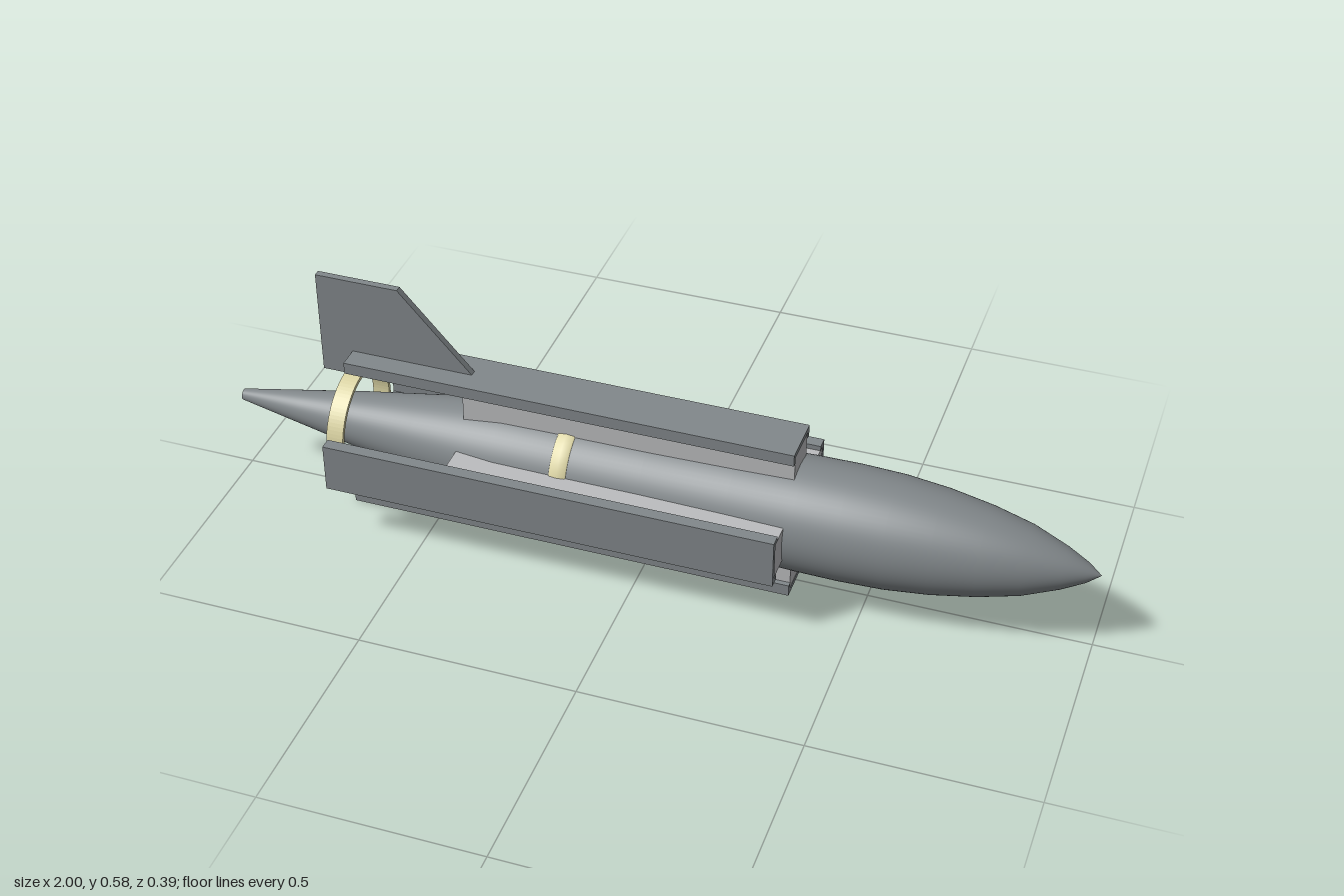
import * as THREE from 'three';

const AXIS_Y = 0.196;

function material(name, color, side = THREE.FrontSide) {
  const m = new THREE.MeshStandardMaterial({ color, side });
  m.name = name;
  return m;
}

export function createModel() {
  const bodyGrey = material('body grey', 0x82888b);
  const paleGrey = material('pale grey', 0xbcbdbf);
  const cream = material('cream', 0xdcd5a4);

  const model = new THREE.Group();
  model.name = 'finnedPod';

  const add = (parent, name, geometry, mat) => {
    const mesh = new THREE.Mesh(geometry, mat);
    mesh.name = name;
    parent.add(mesh);
    return mesh;
  };

  // Profile of [x, radius] pairs revolved about the long axis
  const revolve = (points, segments = 64) =>
    new THREE.LatheGeometry(points.map(([x, r]) => new THREE.Vector2(r, x)), segments)
      .rotateZ(-Math.PI / 2);

  // Everything is built around the x axis, then raised
  const pod = new THREE.Group();
  pod.name = 'pod';
  pod.position.y = AXIS_Y;
  model.add(pod);

  // Streamlined hull: blunt tail, long taper, pointed nose
  add(pod, 'hull', revolve([
    [-1, 0], [-1, 0.013], [-0.85, 0.039], [-0.7, 0.065], [-0.55, 0.088], [-0.42, 0.108],
    [-0.34, 0.117], [-0.2, 0.119], [0, 0.12], [0.2, 0.124], [0.35, 0.129], [0.45, 0.13],
    [0.55, 0.127], [0.65, 0.117], [0.75, 0.1], [0.84, 0.078], [0.92, 0.047], [0.97, 0.022], [1, 0],
  ]), bodyGrey);

  // Strap around the middle of the hull
  add(pod, 'strap', revolve([
    [-0.206, 0.117], [-0.203, 0.122], [-0.185, 0.124], [-0.167, 0.122], [-0.164, 0.117],
  ]), cream);

  // Open ring around the tail
  const ring = new THREE.Shape().absarc(0, 0, 0.132, 0, Math.PI * 2, false);
  ring.holes.push(new THREE.Path().absarc(0, 0, 0.123, 0, Math.PI * 2, true));
  add(pod, 'tailRing', new THREE.ExtrudeGeometry(ring, { depth: 0.04, bevelEnabled: false, curveSegments: 48 })
    .rotateY(Math.PI / 2).translate(-0.73, 0, 0), cream);

  // Four rails: a pylon capped by a channel with inward lips
  const channel = new THREE.Shape([
    [-0.058, 0.166], [-0.046, 0.166], [-0.046, 0.181], [0.046, 0.181],
    [0.046, 0.166], [0.058, 0.166], [0.058, 0.194], [-0.058, 0.194],
  ].map(([z, y]) => new THREE.Vector2(z, y)));
  const channelGeometry = new THREE.ExtrudeGeometry(channel, { depth: 1.042, bevelEnabled: false })
    .rotateY(Math.PI / 2).translate(-0.707, 0, 0);
  const pylonGeometry = new THREE.BoxGeometry(0.763, 0.1, 0.09).translate(-0.0475, 0.131, 0);
  for (let i = 0; i < 4; i++) {
    const rail = new THREE.Group();
    rail.name = ['topRail', 'leftRail', 'bottomRail', 'rightRail'][i];
    rail.rotation.x = i * Math.PI / 2;
    add(rail, 'channel', channelGeometry, bodyGrey);
    add(rail, 'pylon', pylonGeometry, paleGrey);
    pod.add(rail);
  }

  // Swept tail fin on the top rail
  const fin = new THREE.Shape([
    [-0.783, 0.326], [-0.42, 0.326], [-0.42, 0.39], [-0.588, 0.577], [-0.783, 0.577],
  ].map(([x, y]) => new THREE.Vector2(x, y)));
  add(model, 'tailFin', new THREE.ExtrudeGeometry(fin, { depth: 0.016, bevelEnabled: false })
    .translate(0, 0, -0.008), bodyGrey);

  return model;
}
